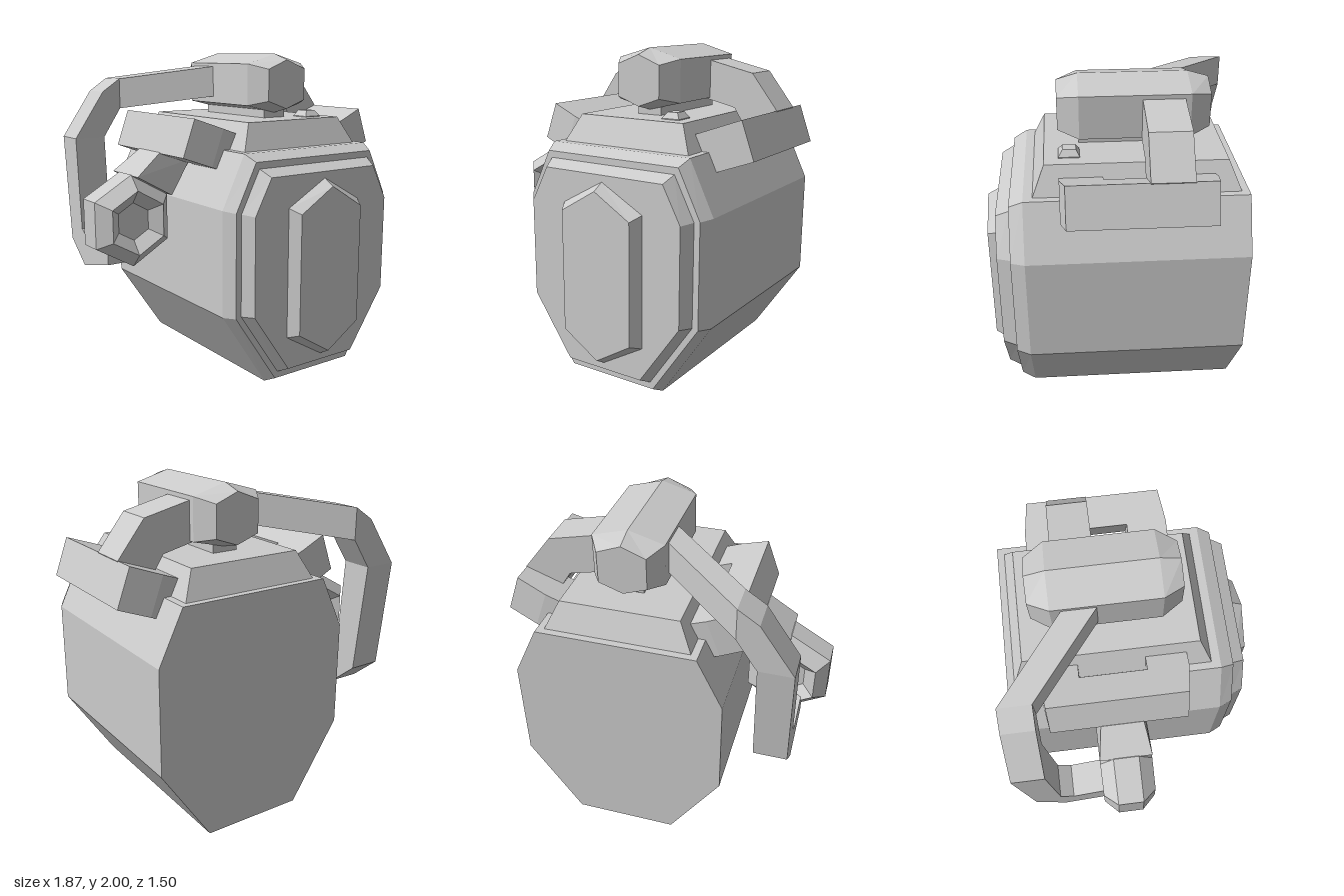
import * as THREE from 'three';

const material = new THREE.MeshStandardMaterial({ color: 0xcccccc, flatShading: true });
const CX = 0.2; // middle of the tank

// Closed solid through a list of rings with equal point counts, capped at both ends
function loft(rings) {
  const n = rings[0].length, last = rings.length - 1, index = [];
  const pos = rings.flat(2);
  for (let r = 0; r < last; r++) {
    for (let i = 0; i < n; i++) {
      const a = r * n + i, b = r * n + (i + 1) % n;
      index.push(a, b, b + n, a, b + n, a + n);
    }
  }
  for (let i = 1; i < n - 1; i++) {
    index.push(0, i + 1, i);
    index.push(last * n, last * n + i, last * n + i + 1);
  }
  // Turn the faces outward if the enclosed volume is negative
  const p = (i) => new THREE.Vector3().fromArray(pos, i * 3);
  let volume = 0;
  for (let i = 0; i < index.length; i += 3) {
    volume += p(index[i]).dot(p(index[i + 1]).cross(p(index[i + 2])));
  }
  if (volume < 0) index.reverse();
  const g = new THREE.BufferGeometry();
  g.setAttribute('position', new THREE.Float32BufferAttribute(pos, 3));
  g.setIndex(index);
  const flat = g.toNonIndexed();
  flat.computeVertexNormals();
  return flat;
}

// Horizontal rectangle used for tapered blocks
const rect = (x0, x1, z0, z1, y) => [[x0, y, z0], [x1, y, z0], [x1, y, z1], [x0, y, z1]];

// Upright octagon of the tank, shrunk by an inset
function octagon(inset, z) {
  const w = 0.62 - inset, top = 1.45 - 1.1 * inset, bottom = 0.04 + 1.1 * inset;
  const t = 0.47 - 0.65 * inset, b = 0.31 - 0.5 * inset;
  const hi = 1.14 - 0.2 * inset, lo = 0.51 + 0.2 * inset;
  return [[t, top], [w, hi], [w, lo], [b, bottom], [-b, bottom], [-w, lo], [-w, hi], [-t, top]]
    .map(([x, y]) => [CX + x, y, z]);
}

// Upright hexagon with a point at top and bottom
function hexagon(w, top, hi, lo, bottom, z) {
  return [[0, top], [w, hi], [w, lo], [0, bottom], [-w, lo], [-w, hi]]
    .map(([x, y]) => [CX + x, y, z]);
}

// Straight extrusion of an outline
function extrude(points, depth) {
  const shape = new THREE.Shape(points.map(([x, y]) => new THREE.Vector2(x, y)));
  return new THREE.ExtrudeGeometry(shape, { depth, bevelEnabled: false });
}

// U-shaped shoulder bracket, tilted outward and up; side is +1 or -1
function bracketGeometry(side) {
  const outline = [
    [0, -0.51], [0, 0.29], [-0.19, 0.32], [-0.34, 0.32], [-0.34, 0.08],
    [-0.19, 0.08], [-0.19, -0.31], [-0.34, -0.31], [-0.34, -0.54], [-0.19, -0.54],
  ];
  return extrude(outline.map(([u, z]) => [side * u, z]), 0.235)
    .rotateX(Math.PI / 2)
    .rotateZ(side * THREE.MathUtils.degToRad(20))
    .translate(CX + side * 0.65, 1.64, 0);
}

export function createModel() {
  const model = new THREE.Group();
  model.name = 'tankModel';
  const add = (name, geometry) => {
    const mesh = new THREE.Mesh(geometry, material);
    mesh.name = name;
    model.add(mesh);
    return mesh;
  };

  // Tank with stepped, bevelled front
  add('tankBody', loft([
    octagon(0, -0.73), octagon(0, 0.52), octagon(0.037, 0.6), octagon(0.073, 0.6), octagon(0.11, 0.68),
  ]));
  add('frontPanel', loft([
    hexagon(0.27, 1.29, 1.14, 0.36, 0.2, 0.66),
    hexagon(0.27, 1.29, 1.14, 0.36, 0.2, 0.68),
    hexagon(0.232, 1.25, 1.11, 0.385, 0.24, 0.75),
  ]));

  // Foot and lid
  add('base', loft([rect(-0.04, 0.44, -0.65, 0.44, 0), rect(-0.08, 0.48, -0.69, 0.48, 0.045)]));
  add('lid', loft([rect(-0.23, 0.63, -0.69, 0.47, 1.445), rect(-0.15, 0.55, -0.62, 0.4, 1.61)]));
  add('lidButton', loft([
    rect(0.36, 0.475, 0.2, 0.32, 1.6), rect(0.36, 0.475, 0.2, 0.32, 1.615), rect(0.385, 0.45, 0.22, 0.295, 1.65),
  ]));

  // Capsule on top with tapered ends, on a short neck
  const capsuleEnd = (z) => hexagon(0.14, 1.965, 1.91, 1.72, 1.67, z);
  const capsuleMid = (z) => hexagon(0.21, 2, 1.94, 1.69, 1.64, z);
  add('topCapsule', loft([capsuleEnd(-0.54), capsuleMid(-0.42), capsuleMid(0.2), capsuleEnd(0.32)]));
  add('capsuleNeck', new THREE.BoxGeometry(0.16, 0.09, 0.62).translate(CX, 1.64, -0.11));

  // Shoulder brackets
  add('leftBracket', bracketGeometry(1));
  add('rightBracket', bracketGeometry(-1));

  // Bent arm joining capsule and left bracket
  add('capsuleArm', extrude([
    [0.36, 1.925], [0.41, 1.915], [0.69, 1.85], [0.855, 1.64], [0.8, 1.55], [0.65, 1.53], [0.58, 1.64], [0.36, 1.69],
  ], 0.235).translate(0, 0, -0.385));

  // Square hose from the capsule round the back, down, and forward to the nozzle;
  // each section lists outer back, outer front, inner front, inner back
  const hosePart = (x0, y0, x1, y1, zb, zf) => [[x0, y0, zb], [x0, y0, zf], [x1, y1, zf], [x1, y1, zb]];
  const hoseLow = (yb, zb, yf, zf) => [[-0.8, yb, zb], [-0.8, yf, zf], [-0.6, yf, zf], [-0.6, yb, zb]];
  add('hose', loft([
    hosePart(0.05, 1.93, 0.05, 1.74, -0.31, -0.115),
    hosePart(-0.48, 1.84, -0.48, 1.65, -0.75, -0.56),
    hosePart(-0.6, 1.76, -0.53, 1.575, -0.75, -0.56),
    hosePart(-0.8, 1.47, -0.6, 1.47, -0.75, -0.56),
    hoseLow(0.8, -0.68, 0.89, -0.52),
    hoseLow(0.65, -0.5, 0.84, -0.44),
    hoseLow(0.73, -0.16, 0.92, -0.16),
  ]));

  // Six-sided nozzle, bevelled and hollowed at both ends
  const profile = [
    [0, -0.09], [0.115, -0.09], [0.195, -0.155], [0.28, -0.075],
    [0.28, 0.075], [0.195, 0.155], [0.115, 0.09], [0, 0.09],
  ].map(([r, h]) => new THREE.Vector2(r, h));
  add('nozzle', new THREE.LatheGeometry(profile, 6).rotateX(Math.PI / 2).translate(-0.7, 1.02, -0.095));

  // Tapered link between nozzle and right bracket
  add('nozzleLink', loft([
    [[-0.7, 1.295, -0.25], [-0.7, 1.295, 0.06], [-0.47, 1.165, 0.06], [-0.47, 1.165, -0.25]],
    [[-0.53, 1.425, -0.22], [-0.53, 1.425, 0.03], [-0.32, 1.37, 0.03], [-0.32, 1.37, -0.22]],
  ]));

  return model;
}
